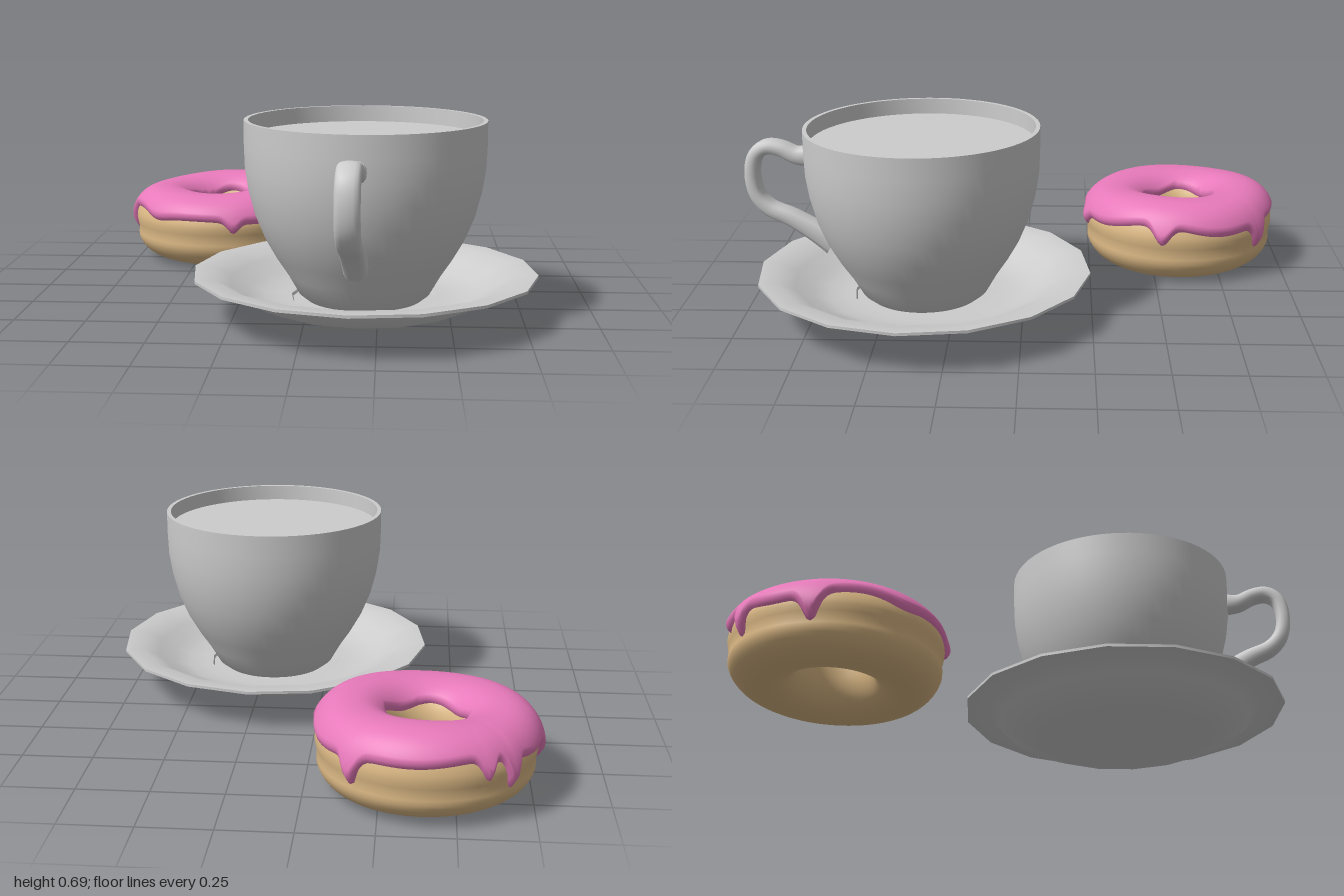
import * as THREE from 'three';
import { toCreasedNormals } from 'three/addons/utils/BufferGeometryUtils.js';

const ceramic = new THREE.MeshStandardMaterial({ name: 'grey ceramic', color: 0xcccccc });
const dough = new THREE.MeshStandardMaterial({ name: 'baked dough', color: 0xdcb985 });
const pink = new THREE.MeshStandardMaterial({ name: 'pink icing', color: 0xe87abb });

function part(name, geometry, material) {
  const mesh = new THREE.Mesh(geometry, material);
  mesh.name = name;
  return mesh;
}

function lathe(profile, sides, crease) {
  const points = profile.map(([r, y]) => new THREE.Vector2(r, y));
  return toCreasedNormals(new THREE.LatheGeometry(points, sides), crease);
}

// Smooth surface from cross-sections: i always wraps, j wraps only when closed
function loopSurface(ni, nj, closed, point) {
  const positions = [], index = [];
  const rows = closed ? nj : nj + 1;
  for (let i = 0; i < ni; i++)
    for (let j = 0; j < rows; j++) positions.push(...point((i / ni) * Math.PI * 2, j / nj));
  for (let i = 0; i < ni; i++)
    for (let j = 0; j < nj; j++) {
      const i2 = (i + 1) % ni, j2 = (j + 1) % rows;
      const a = i * rows + j, b = i * rows + j2, c = i2 * rows + j2, d = i2 * rows + j;
      index.push(a, b, c, a, c, d);
    }
  const g = new THREE.BufferGeometry();
  g.setAttribute('position', new THREE.Float32BufferAttribute(positions, 3));
  g.setIndex(index);
  g.computeVertexNormals();
  return g;
}

// Flat band handle that flares where it joins the cup
function handleGeometry() {
  const path = new THREE.CatmullRomCurve3([
    [0.575, 0.385], [0.573, 0.45], [0.598, 0.51], [0.602, 0.56], [0.573, 0.6], [0.505, 0.617],
    [0.425, 0.603], [0.375, 0.56], [0.342, 0.485], [0.3, 0.41], [0.25, 0.33],
  ].map(([y, z]) => new THREE.Vector3(0, y, z)));
  return loopSurface(16, 48, false, (v, t) => {
    const c = path.getPoint(t), d = path.getTangent(t);
    const flare = Math.exp(-t * 14) * 0.02 + Math.exp(-(1 - t) * 7) * 0.022;
    const round = (s) => Math.sign(s) * Math.abs(s) ** 0.75;
    const w = 0.041 * round(Math.cos(v));
    const h = (0.026 + flare) * round(Math.sin(v));
    return [w, c.y - d.z * h, c.z + d.y * h];
  });
}

// Doughnut section: a = 0 outside, PI / 2 on top, PI in the hole
const RING = 0.245, HALF_W = 0.125, MID = 0.15, HALF_H = 0.137;
function ringPoint(theta, a, offset) {
  const c = Math.cos(a), s = Math.sin(a);
  const soft = (k) => Math.sign(k) * Math.abs(k) ** 0.88;
  const waist = c > 0 ? 0.01 * Math.exp(-(((s + 0.12) / 0.16) ** 2)) : 0;
  const r = RING + (HALF_W + offset) * soft(c) - waist;
  const lump = s > 0
    ? 0.009 * Math.cos(theta + 0.8) + 0.004 * Math.sin(3 * theta)
    : 0.008 * Math.cos(theta - 0.7);
  const y = MID + (HALF_H + offset) * soft(s) + lump * s;
  return [r * Math.cos(theta), y, r * Math.sin(theta)];
}

// Icing drips: angle, drop, width
const drips = [
  [0.24, 0.075, 0.11], [1.37, 0.045, 0.08], [3.14, 0.09, 0.1],
  [-2.38, 0.1, 0.07], [-2.12, 0.07, 0.07], [-0.88, 0.085, 0.09], [2.3, 0.02, 0.2],
];
function dripAt(theta) {
  let sum = 0;
  for (const [angle, drop, width] of drips) {
    const d = Math.atan2(Math.sin(theta - angle), Math.cos(theta - angle));
    sum += drop * Math.exp(-((d / width) ** 2));
  }
  return sum;
}

function icingGeometry() {
  const angleAt = (y) => Math.asin((y - MID) / (HALF_H + 0.02));
  return loopSurface(180, 36, false, (theta, t) => {
    const drip = dripAt(theta);
    const edge = 0.205 + 0.016 * Math.sin(3 * theta + 0.6) + 0.01 * Math.sin(5 * theta) - drip;
    const outer = angleAt(edge);
    const inner = Math.PI - angleAt(0.225 + 0.014 * Math.sin(4 * theta + 1));
    const fromEnd = Math.min(t, 1 - t);
    // rounded lip tucked into the dough at both edges
    const lip = Math.sqrt(Math.min(1, fromEnd / 0.085));
    const bead = drip * 0.1 * Math.exp(-t * 8);
    return ringPoint(theta, outer + (inner - outer) * t, -0.012 + lip * (0.031 + bead));
  });
}

export function createModel() {
  const model = new THREE.Group();
  model.name = 'coffee and doughnut';

  // Cup and saucer share one axis
  const service = new THREE.Group();
  service.name = 'cupAndSaucer';
  service.position.set(0.203, 0, 0.355);
  service.rotation.y = -0.067;
  service.add(part('saucer', lathe([
    [0, 0.046], [0.3, 0.046], [0.355, 0.053], [0.42, 0.081], [0.47, 0.115], [0.515, 0.152], [0.598, 0.153],
    [0.598, 0.163], [0.53, 0.16], [0.47, 0.132], [0.41, 0.098], [0.35, 0.078], [0.29, 0.074],
    [0.255, 0.073], [0.25, 0.064], [0, 0.064],
  ], 16, 0.75), ceramic));
  service.add(part('cup', lathe([
    [0, 0.068], [0.2, 0.068], [0.228, 0.09], [0.265, 0.155], [0.305, 0.215], [0.345, 0.285],
    [0.378, 0.365], [0.4, 0.45], [0.412, 0.53], [0.415, 0.61], [0.415, 0.692],
    [0.4, 0.692], [0.398, 0.62],
  ], 64, 0.6), ceramic));
  const drink = part('drink', new THREE.CircleGeometry(0.4, 64), ceramic);
  drink.rotation.x = -Math.PI / 2;
  drink.position.y = 0.635;
  service.add(drink, part('handle', handleGeometry(), ceramic));
  model.add(service);

  // Iced doughnut behind the saucer
  const doughnut = new THREE.Group();
  doughnut.name = 'doughnut';
  doughnut.position.set(-0.4, 0, -0.605);
  doughnut.add(part('doughRing', loopSurface(96, 48, true,
    (theta, t) => ringPoint(theta, t * Math.PI * 2, 0)), dough));
  doughnut.add(part('icing', icingGeometry(), pink));
  model.add(doughnut);
  return model;
}
